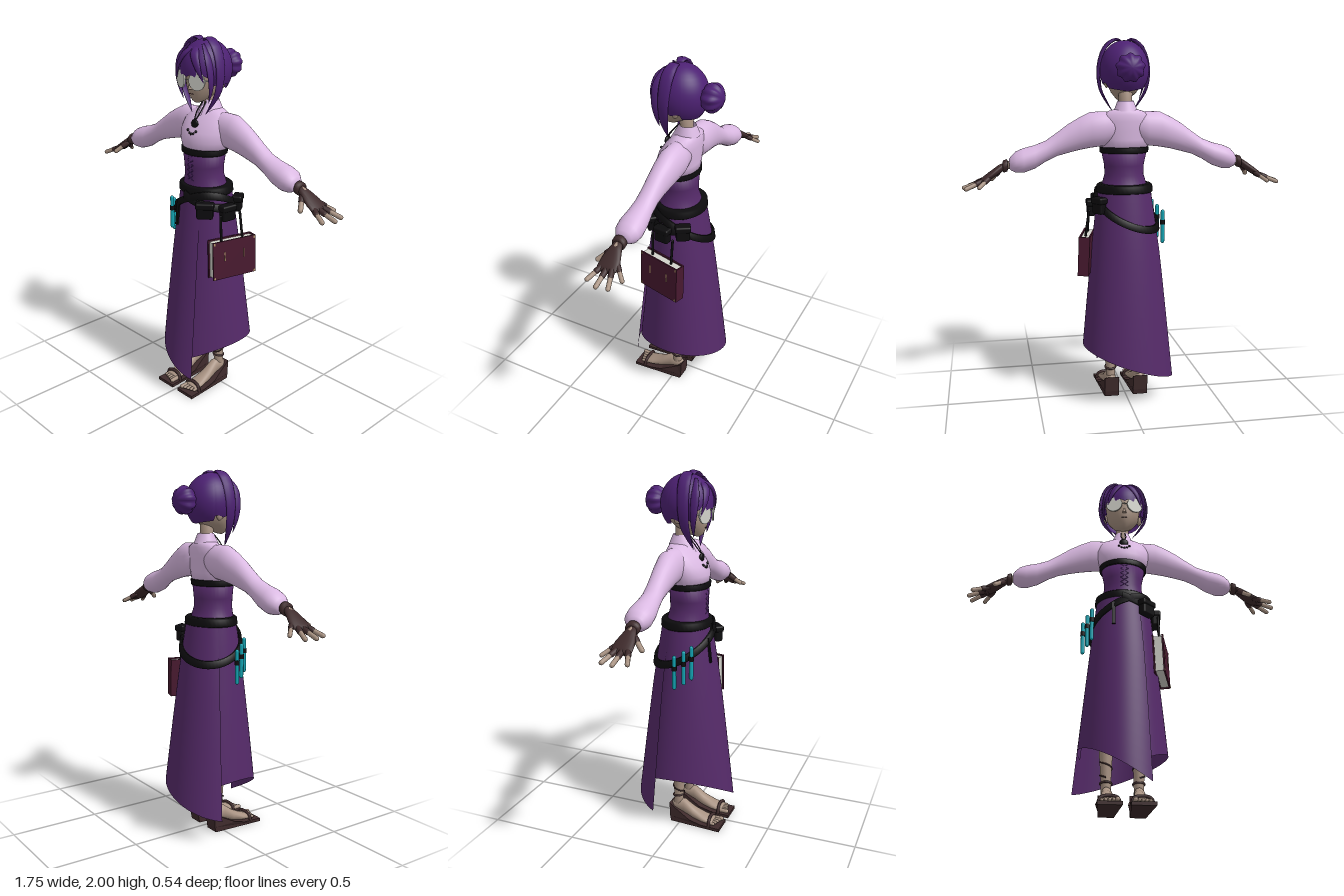
import * as THREE from 'three';
import { mergeVertices } from 'three/addons/utils/BufferGeometryUtils.js';
import { RoundedBoxGeometry } from 'three/addons/geometries/RoundedBoxGeometry.js';

const V = (x, y, z) => new THREE.Vector3(x, y, z);
const { sin, cos, PI, max, min, abs, sqrt } = Math;
const rad = d => d * PI / 180;

// Closed skin over rings of points
function loft(rings, cap = true) {
  const n = rings[0].length, m = rings.length, pos = [], idx = [];
  rings.forEach(r => r.forEach(p => pos.push(p.x, p.y, p.z)));
  for (let i = 0; i < m - 1; i++) for (let j = 0; j < n; j++) {
    const a = i * n + j, b = i * n + (j + 1) % n;
    idx.push(a, b, a + n, b, b + n, a + n);
  }
  if (cap) [0, m - 1].forEach(i => {
    const c = rings[i].reduce((s, p) => s.add(p), V(0, 0, 0)).divideScalar(n), k = pos.length / 3;
    pos.push(c.x, c.y, c.z);
    for (let j = 0; j < n; j++) {
      const a = i * n + j, b = i * n + (j + 1) % n;
      i ? idx.push(a, b, k) : idx.push(b, a, k);
    }
  });
  return finish(pos, idx);
}
function finish(pos, idx) {
  const g = new THREE.BufferGeometry();
  g.setAttribute('position', new THREE.Float32BufferAttribute(pos, 3));
  g.setIndex(idx);
  g.computeVertexNormals();
  return g;
}
// Ellipse sections [t, cu, cv, ru, rv]; (u, v) is (z, x) for y, (y, z) for x, (x, y) for z
function ovals(axis, sections, n = 28) {
  const put = { x: (u, v, t) => V(t, u, v), y: (u, v, t) => V(v, t, u), z: (u, v, t) => V(u, v, t) }[axis];
  return loft(sections.map(([t, cu, cv, ru, rv]) => Array.from({ length: n }, (_, j) =>
    put(cu + ru * cos(j / n * 2 * PI), cv + rv * sin(j / n * 2 * PI), t))));
}
// Open grid surface
function sheet(nu, nv, f) {
  const pos = [], idx = [];
  for (let i = 0; i <= nu; i++) for (let j = 0; j <= nv; j++) {
    pos.push(...f(i / nu, j / nv).toArray());
    if (i < nu && j < nv) {
      const a = i * (nv + 1) + j, b = a + nv + 1;
      idx.push(a, a + 1, b, b, a + 1, b + 1);
    }
  }
  const g = mergeVertices(finish(pos, idx).deleteAttribute('normal'), 1e-5);
  g.computeVertexNormals();
  return g;
}
// Tapered lock of hair swept along a curve
function lock(points, w, t, side = V(0, 0, 1)) {
  const c = new THREE.CatmullRomCurve3(points), rings = [];
  for (let i = 0; i <= 18; i++) {
    const k = i / 18, s = min(1, 0.4 + 2 * k) * (1 - k ** 3 * 0.97), p = c.getPoint(k);
    const N = c.getTangent(k).cross(side).normalize();
    rings.push(Array.from({ length: 10 }, (_, j) => p.clone()
      .addScaledVector(side, w * s * cos(j * PI / 5)).addScaledVector(N, t * s * sin(j * PI / 5))));
  }
  return loft(rings);
}
const tube = (pts, r, n = 24) => new THREE.TubeGeometry(new THREE.CatmullRomCurve3(pts), n, r, 8);
function limb(a, b, r) {
  const d = b.clone().sub(a), g = new THREE.CapsuleGeometry(r, d.length(), 4, 10);
  g.applyQuaternion(new THREE.Quaternion().setFromUnitVectors(V(0, 1, 0), d.clone().normalize()));
  const m = a.clone().lerp(b, 0.5);
  return g.translate(m.x, m.y, m.z);
}
function mirrored(g) {
  const r = g.clone().scale(-1, 1, 1);
  const ix = g.index ? [...g.index.array] : [...Array(g.attributes.position.count).keys()];
  for (let i = 0; i < ix.length; i += 3) [ix[i], ix[i + 1]] = [ix[i + 1], ix[i]];
  return r.setIndex(ix);
}

export function createModel() {
  const root = new THREE.Group();
  const mat = (name, color, both) => {
    const m = new THREE.MeshStandardMaterial({ color });
    m.name = name;
    if (both) m.side = THREE.DoubleSide;
    return m;
  };
  const skin = mat('skin', 0xa89282), hair = mat('hair', 0x4d2173, true), cloth = mat('skirt purple', 0x552a69, true);
  const blouse = mat('lilac blouse', 0xdab9e2, true), black = mat('black leather', 0x0d0c0e, true);
  const brown = mat('brown leather', 0x3e2a2b), cyan = mat('cyan', 0x12a5b4), maroon = mat('maroon cover', 0x48192f);
  const pale = mat('pale page and lens', 0xd2d2ca), gold = mat('gold trim', 0xb09468);
  const add = (name, g, m) => {
    const o = new THREE.Mesh(g, m);
    o.name = name;
    root.add(o);
    return o;
  };
  const pair = (name, g, m) => { add(name + 'Left', g, m); add(name + 'Right', mirrored(g), m); };

  // Head, neck, ears and face
  add('head', ovals('y', [[1.662, 0.062, 0, 0.012, 0.014], [1.675, 0.05, 0, 0.04, 0.036], [1.71, 0.025, 0, 0.082, 0.068],
    [1.75, 0.005, 0, 0.108, 0.09], [1.8, 0, 0, 0.115, 0.1], [1.86, 0, 0, 0.115, 0.104], [1.92, 0, 0, 0.09, 0.09]]), skin);
  add('neck', ovals('y', [[1.56, -0.035, 0, 0.038, 0.042], [1.64, -0.03, 0, 0.033, 0.034], [1.74, -0.025, 0, 0.04, 0.04]]), skin);
  add('nose', new THREE.ConeGeometry(0.012, 0.04, 8).translate(0, 1.757, 0.116), skin);
  add('mouth', new THREE.BoxGeometry(0.03, 0.004, 0.006).translate(0, 1.712, 0.106), brown);
  pair('ear', new THREE.SphereGeometry(0.025, 12, 10).scale(0.5, 1.2, 0.8).translate(0.1, 1.765, -0.015), skin);

  // Glasses
  pair('lens', new THREE.CylinderGeometry(0.047, 0.047, 0.008, 28).rotateX(PI / 2).rotateY(0.3).translate(0.06, 1.785, 0.122), pale);
  pair('glassesArm', limb(V(0.104, 1.79, 0.108), V(0.112, 1.785, -0.01), 0.003), pale);
  add('glassesBridge', limb(V(-0.02, 1.79, 0.133), V(0.02, 1.79, 0.133), 0.003), pale);

  // Hair cap with ragged fringe, front locks and bun
  add('hairCap', sheet(96, 14, (u, v) => {
    const a = (u * 2 - 1) * PI, d = abs(a);
    const hem = d < 1 ? 1.802 + 0.012 * abs(sin(a * 7)) : d < 2 ? 1.75 + 0.012 * abs(sin(a * 6)) : 1.735 - 0.015 * (d - 2);
    const p = v * Math.acos((hem - 1.83) / 0.155);
    return V(0.132 * sin(p) * sin(a), 1.83 + 0.155 * cos(p), 0.142 * sin(p) * cos(a));
  }), hair);
  pair('longLock', lock([V(0, 1.965, 0.02), V(0.04, 1.99, 0.02), V(0.1, 1.95, 0.025), V(0.136, 1.84, 0.03),
    V(0.126, 1.73, 0.035), V(0.09, 1.66, 0.045), V(0.05, 1.6, 0.055)], 0.036, 0.011), hair);
  pair('cheekLock', lock([V(0.05, 1.965, 0.07), V(0.1, 1.9, 0.085), V(0.122, 1.81, 0.085), V(0.118, 1.74, 0.08),
    V(0.095, 1.67, 0.075)], 0.024, 0.009), hair);
  pair('fringeLock', lock([V(0.0, 1.96, 0.06), V(0.035, 1.92, 0.115), V(0.07, 1.86, 0.13), V(0.1, 1.78, 0.115)],
    0.025, 0.01, V(0.9, 0.1, -0.42).normalize()), hair);
  const bun = new THREE.SphereGeometry(1, 48, 20).rotateX(PI / 2), bp = bun.attributes.position;
  for (let i = 0; i < bp.count; i++) {
    const x = bp.getX(i), y = bp.getY(i), s = 1 + 0.07 * sin(Math.atan2(y, x) * 9) * min(1, sqrt(x * x + y * y) * 1.4);
    bp.setXYZ(i, x * 0.074 * s, 1.84 + y * 0.072 * s, -0.172 + bp.getZ(i) * 0.058);
  }
  bun.computeVertexNormals();
  add('bun', bun, hair);

  // Blouse body, puffed sleeves and collar
  add('blouse', ovals('y', [[1.4, 0.01, 0, 0.105, 0.126], [1.46, 0.013, 0, 0.112, 0.145], [1.51, 0.003, 0, 0.104, 0.155],
    [1.56, -0.015, 0, 0.088, 0.15], [1.595, -0.03, 0, 0.07, 0.13], [1.615, -0.036, 0, 0.056, 0.09], [1.625, -0.037, 0, 0.048, 0.055]]), blouse);
  pair('sleeve', ovals('x', [[0.04, 1.535, -0.03, 0.07, 0.06], [0.12, 1.52, -0.03, 0.092, 0.068], [0.19, 1.515, -0.03, 0.095, 0.068],
    [0.25, 1.495, -0.027, 0.086, 0.062], [0.31, 1.47, -0.024, 0.076, 0.055], [0.37, 1.44, -0.022, 0.062, 0.051], [0.43, 1.405, -0.02, 0.055, 0.053],
    [0.49, 1.375, -0.02, 0.062, 0.062], [0.55, 1.357, -0.02, 0.065, 0.069], [0.59, 1.349, -0.02, 0.056, 0.064],
    [0.615, 1.342, -0.016, 0.038, 0.045], [0.625, 1.34, -0.014, 0.025, 0.03]]), blouse);
  add('collar', sheet(40, 4, (u, v) => {
    const a = 0.18 + u * (2 * PI - 0.36), f = max(0, cos(a)), y = 1.668 - v * (0.055 + 0.045 * f * f);
    const r = 0.043 + 0.022 * v;
    return V(r * sin(a), y, -0.035 + (r + 0.035 * v * f) * cos(a));
  }), blouse);

  // Pendant with beads
  pair('necklaceCord', tube([V(0.012, 1.66, 0.012), V(0.014, 1.61, 0.055), V(0.004, 1.57, 0.082)], 0.003), black);
  add('pendant', new THREE.SphereGeometry(0.025, 20, 14).scale(1, 1, 0.45).translate(0, 1.55, 0.083), black);
  for (let i = -2; i <= 2; i++)
    add('bead', new THREE.SphereGeometry(0.007, 10, 8).translate(i * 0.015, 1.5 + i * i * 0.004, 0.11 - abs(i) * 0.003), black);

  // Corset with lacing, trim and waist belt
  add('corset', ovals('y', [[1.17, 0, 0, 0.13, 0.145], [1.22, 0.008, 0, 0.112, 0.122], [1.27, 0.013, 0, 0.104, 0.107],
    [1.32, 0.014, 0, 0.105, 0.109], [1.41, 0.013, 0, 0.107, 0.128]], 36), cloth);
  add('corsetTrim', ovals('y', [[1.388, 0.013, 0, 0.111, 0.129], [1.392, 0.013, 0, 0.115, 0.134], [1.418, 0.013, 0, 0.115, 0.135], [1.422, 0.012, 0, 0.11, 0.13]], 36), black);
  for (let i = 0; i < 5; i++)
    pair('lacing', limb(V(-0.02, 1.25 + i * 0.028, 0.117), V(0.02, 1.275 + i * 0.028, 0.118), 0.002), hair);
  add('waistBelt', ovals('y', [[1.172, 0, 0, 0.132, 0.15], [1.178, 0, 0, 0.14, 0.157], [1.212, 0, 0, 0.137, 0.154], [1.22, 0, 0, 0.128, 0.144]], 40), black);

  // Wrap skirt: two overlapping panels with slanted hems
  const onSkirt = (a, y, off = 0) => {
    const f = (1.18 - y) / 1.06;
    return V((0.146 + 0.112 * max(0, f) ** 0.85 + off) * sin(a) * (1 - 0.12 * f * cos(a)), y, (0.132 + 0.142 * max(0, f) ** 0.9 + off) * cos(a));
  };
  const panel = (name, a0, a1, hem) => add(name, sheet(48, 16, (u, v) => {
    const a = a0 + (a1 - a0) * u;
    return onSkirt(a, 1.19 + (hem(a) - 1.19) * v, (0.008 - 0.014 * u) * min(1, v * 3));
  }), cloth);
  panel('frontSkirtPanel', rad(32), rad(-118), a => 0.19 - 0.137 * sin(a));
  panel('backSkirtPanel', rad(248), rad(24), a => 0.21 + 0.1 * cos(a - rad(100)));

  // Slung belts, pouches and hanging strap
  const belt = (name, a0, a1, yf) => add(name, sheet(60, 4, (u, v) => {
    const a = a0 + (a1 - a0) * u, k = Math.round(v * 4) % 4;
    return onSkirt(a, yf(a) + (k === 1 || k === 2 ? 0.02 : -0.02), k > 1 ? 0.004 : 0.02);
  }), black);
  belt('slungBelt', -PI, PI, a => 1.08 + 0.075 * sin(a) + 0.07 * cos(a));
  belt('pouchBelt', rad(-5), rad(130), a => 1.17 - 0.06 * sin(a));
  [[42, 1.105, 0.09], [84, 1.085, 0.085], [122, 1.11, 0.075]].forEach(([d, y, w]) => {
    const p = onSkirt(rad(d), y, 0.025);
    add('pouch', new RoundedBoxGeometry(w, 0.085, 0.045, 3, 0.012).rotateY(rad(d)).translate(p.x, p.y, p.z), black);
    add('pouchFlap', new RoundedBoxGeometry(w + 0.01, 0.035, 0.055, 3, 0.01).rotateY(rad(d)).translate(p.x, p.y + 0.03, p.z), black);
  });
  add('hangingStrap', new THREE.BoxGeometry(0.018, 0.14, 0.01).rotateX(-0.12).translate(-0.062, 1.06, 0.155), black);

  // Cyan vials on the right hip
  [[-0.222, 0.965, 0.015], [-0.2, 0.99, 0.06], [-0.177, 1.015, 0.095]].forEach(([x, y, z]) => {
    add('vial', new THREE.CapsuleGeometry(0.011, 0.17, 4, 12).translate(x, y, z), cyan);
    add('vialLoop', new THREE.CylinderGeometry(0.014, 0.014, 0.025, 12).translate(x, y + 0.025, z), black);
  });

  // Book hung on the left hip, spine to the back
  const book = new THREE.Group();
  book.name = 'book';
  book.position.set(0.212, 0.84, 0.01);
  book.rotation.set(0, -0.25, 0.04);
  root.add(book);
  const part = (name, w, h, d, x, y, z, m) => book.add(add(name, new THREE.BoxGeometry(w, h, d).translate(x, y, z), m));
  part('pages', 0.042, 0.2, 0.25, 0, 0, 0, pale);
  part('outerCover', 0.008, 0.215, 0.265, 0.026, 0, 0, maroon);
  part('innerCover', 0.008, 0.215, 0.265, -0.026, 0, 0, maroon);
  part('spine', 0.06, 0.215, 0.008, 0, 0, -0.13, maroon);
  [-1, 1].forEach(s => {
    part('coverInlay', 0.003, 0.05, 0.006, 0.031, 0.02, s * 0.06, gold);
    [-1, 1].forEach(t => part('coverCorner', 0.003, 0.014, 0.008, 0.031, t * 0.098, s * 0.124, gold));
  });
  add('bookStrapFront', limb(V(0.19, 1.08, 0.075), V(0.195, 0.945, 0.075), 0.007), black);
  add('bookStrapBack', limb(V(0.205, 1.08, -0.055), V(0.225, 0.945, -0.055), 0.007), black);

  // Fingerless gloves and hands
  pair('wrist', limb(V(0.6, 1.345, -0.015), V(0.67, 1.318, -0.012), 0.02), skin);
  pair('gloveCuff', ovals('x', [[0.632, 1.333, -0.013, 0.022, 0.026], [0.636, 1.332, -0.013, 0.033, 0.037], [0.656, 1.326, -0.013, 0.033, 0.037], [0.66, 1.324, -0.013, 0.022, 0.026]], 20), brown);
  pair('glove', ovals('x', [[0.655, 1.325, -0.013, 0.021, 0.025], [0.69, 1.304, -0.013, 0.024, 0.037], [0.73, 1.277, -0.015, 0.022, 0.052],
    [0.765, 1.256, -0.014, 0.017, 0.054], [0.78, 1.247, -0.012, 0.01, 0.044]], 20), brown);
  [[V(0.735, 1.268, -0.055), V(0.785, 1.228, -0.108), 0.011], [V(0.765, 1.254, -0.042), V(0.853, 1.218, -0.074), 0.012],
    [V(0.77, 1.25, -0.012), V(0.864, 1.217, -0.014), 0.012], [V(0.762, 1.254, 0.018), V(0.838, 1.22, 0.05), 0.012],
    [V(0.68, 1.3, 0.01), V(0.718, 1.252, 0.066), 0.013]].forEach(([a, b, r]) => {
    pair('finger', limb(a, b, r), skin);
    pair('gloveFinger', limb(a, a.clone().lerp(b, 0.35), r + 0.003), brown);
  });

  // Legs and feet with wound straps
  pair('leg', ovals('y', [[0.07, -0.022, 0.085, 0.03, 0.027], [0.14, -0.018, 0.085, 0.027, 0.026], [0.24, -0.014, 0.086, 0.031, 0.03],
    [0.4, -0.02, 0.086, 0.046, 0.042], [0.55, -0.012, 0.084, 0.045, 0.044], [0.8, 0, 0.08, 0.06, 0.058], [1.1, 0, 0.075, 0.08, 0.07]]), skin);
  pair('foot', ovals('z', [[-0.056, 0.085, 0.1, 0.012, 0.015], [-0.035, 0.085, 0.1, 0.028, 0.032], [0.02, 0.084, 0.095, 0.03, 0.045],
    [0.08, 0.082, 0.062, 0.036, 0.034], [0.14, 0.081, 0.042, 0.044, 0.024], [0.2, 0.081, 0.032, 0.047, 0.015]], 20), skin);
  for (let i = 0; i < 5; i++)
    pair('toe', limb(V(0.045 + i * 0.018, 0.032, 0.18), V(0.043 + i * 0.019, 0.032, 0.233 - i * 0.006), i ? 0.009 : 0.012), skin);
  const wedge = new THREE.Shape([[0.25, 0], [0.25, 0.018], [0.14, 0.022], [0.07, 0.04], [0.02, 0.065], [-0.03, 0.09],
    [-0.062, 0.115], [-0.058, 0.03], [-0.052, 0]].map(p => new THREE.Vector2(...p)));
  const shoe = new THREE.ExtrudeGeometry(wedge, { depth: 1, bevelEnabled: false }).rotateY(-PI / 2).translate(0.5, 0, 0);
  const sp = shoe.attributes.position;
  for (let i = 0; i < sp.count; i++) sp.setX(i, 0.082 + sp.getX(i) * (sp.getZ(i) > 0.06 ? 0.122 : 0.082));
  shoe.computeVertexNormals();
  pair('wedgeShoe', shoe, brown);
  pair('toeStrap', tube([V(0.026, 0.015, 0.185), V(0.04, 0.05, 0.183), V(0.081, 0.06, 0.18), V(0.122, 0.05, 0.183), V(0.137, 0.015, 0.185)], 0.009), brown);
  pair('ankleStrap', new THREE.TorusGeometry(0.029, 0.006, 8, 24).rotateX(PI / 2 - 0.15).translate(0.085, 0.165, -0.018), brown);
  pair('legWinding', tube(Array.from({ length: 30 }, (_, i) => V(0.086 + 0.031 * sin(i * 0.45), 0.19 + i * 0.005,
    -0.015 + 0.033 * cos(i * 0.45))), 0.004, 80), brown);

  return root;
}
